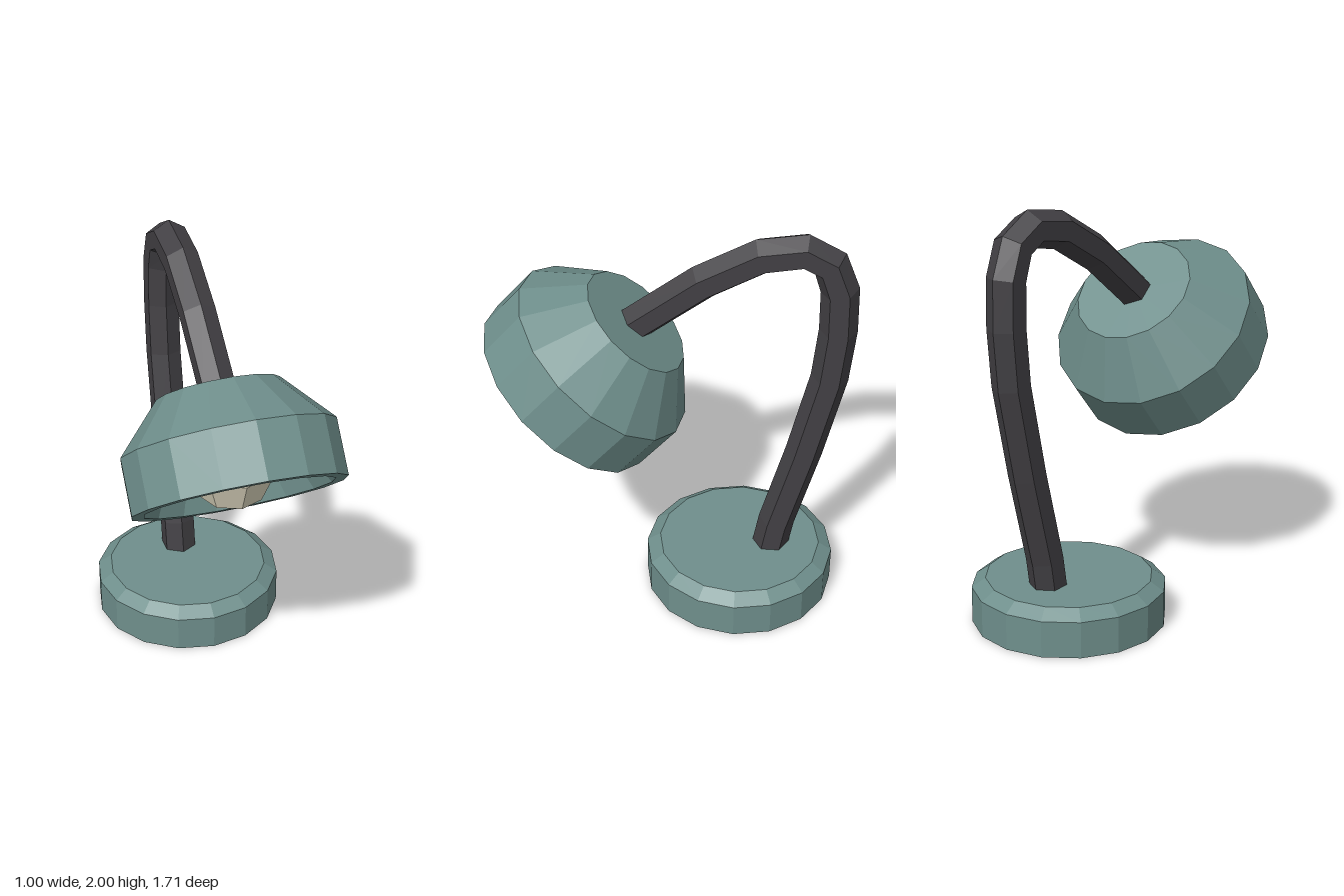
import * as THREE from 'three';

// Faceted look: every face gets its own normal.
function faceted(geometry) {
  const flat = geometry.index ? geometry.toNonIndexed() : geometry;
  flat.computeVertexNormals();
  return flat;
}

function lathe(profile, sides) {
  return faceted(new THREE.LatheGeometry(profile.map(([r, y]) => new THREE.Vector2(r, y)), sides));
}

// Sweeps a polygon along a path of [z, y] points lying in the plane x = 0.
function sweep(path, radius, sides) {
  const positions = [];
  const index = [];
  const last = path.length - 1;
  const unit = (a, b) => new THREE.Vector2(b[0] - a[0], b[1] - a[1]).normalize();
  path.forEach(([z, y], i) => {
    const t = new THREE.Vector2();
    if (i > 0) t.add(unit(path[i - 1], path[i]));
    if (i < last) t.add(unit(path[i], path[i + 1]));
    t.normalize();
    for (let k = 0; k < sides; k++) {
      const a = (k / sides) * Math.PI * 2;
      const n = radius * Math.cos(a);
      positions.push(radius * Math.sin(a), y + n * t.x, z - n * t.y);
    }
  });
  for (let i = 0; i < last; i++) {
    for (let k = 0; k < sides; k++) {
      const a = i * sides + k;
      const b = i * sides + ((k + 1) % sides);
      index.push(a, a + sides, b, b, a + sides, b + sides);
    }
  }
  // end caps
  const end = last * sides;
  for (let k = 1; k < sides - 1; k++) {
    index.push(0, k, k + 1, end, end + k + 1, end + k);
  }
  const geometry = new THREE.BufferGeometry();
  geometry.setAttribute('position', new THREE.Float32BufferAttribute(positions, 3));
  geometry.setIndex(index);
  return faceted(geometry);
}

function part(name, geometry, material) {
  const mesh = new THREE.Mesh(geometry, material);
  mesh.name = name;
  return mesh;
}

export function createModel() {
  const paint = new THREE.MeshStandardMaterial({ color: 0x6f8f8c });
  paint.name = 'sage teal paint';
  const metal = new THREE.MeshStandardMaterial({ color: 0x424044 });
  metal.name = 'charcoal metal';
  const glass = new THREE.MeshStandardMaterial({ color: 0xe0dac2 });
  glass.name = 'cream glass';

  const lamp = new THREE.Group();
  lamp.name = 'deskLamp';

  // Round foot with a bevelled top edge
  const base = part('base', lathe([[0, 0], [0.46, 0], [0.46, 0.175], [0.395, 0.22], [0, 0.22]], 16), paint);
  base.position.z = -0.35;
  lamp.add(base);

  // Hexagonal gooseneck from the foot to the back of the shade
  const neck = [
    [-0.5, 0.18], [-0.53, 0.36], [-0.645, 0.8], [-0.743, 1.24], [-0.768, 1.505], [-0.764, 1.72],
    [-0.715, 1.855], [-0.603, 1.914], [-0.41, 1.88], [-0.15, 1.732], [0.165, 1.485],
  ];
  lamp.add(part('neck', sweep(neck, 0.088, 6), metal));

  // Tilted shade: its local y axis runs from the open rim to the back
  const shade = part('shade', lathe([
    [0, 0.24], [0.31, 0.24], [0.442, 0], [0.5, 0], [0.5, 0.266], [0.288, 0.5], [0, 0.5],
  ], 16), paint);
  shade.position.set(0, 1.118, 0.478);
  shade.rotation.x = -0.708;
  lamp.add(shade);

  // Upright bulb sitting half out of the shade
  const bulb = part('bulb', faceted(new THREE.SphereGeometry(0.212, 8, 4)), glass);
  bulb.position.set(0, 1.235, 0.368);
  lamp.add(bulb);

  return lamp;
}
